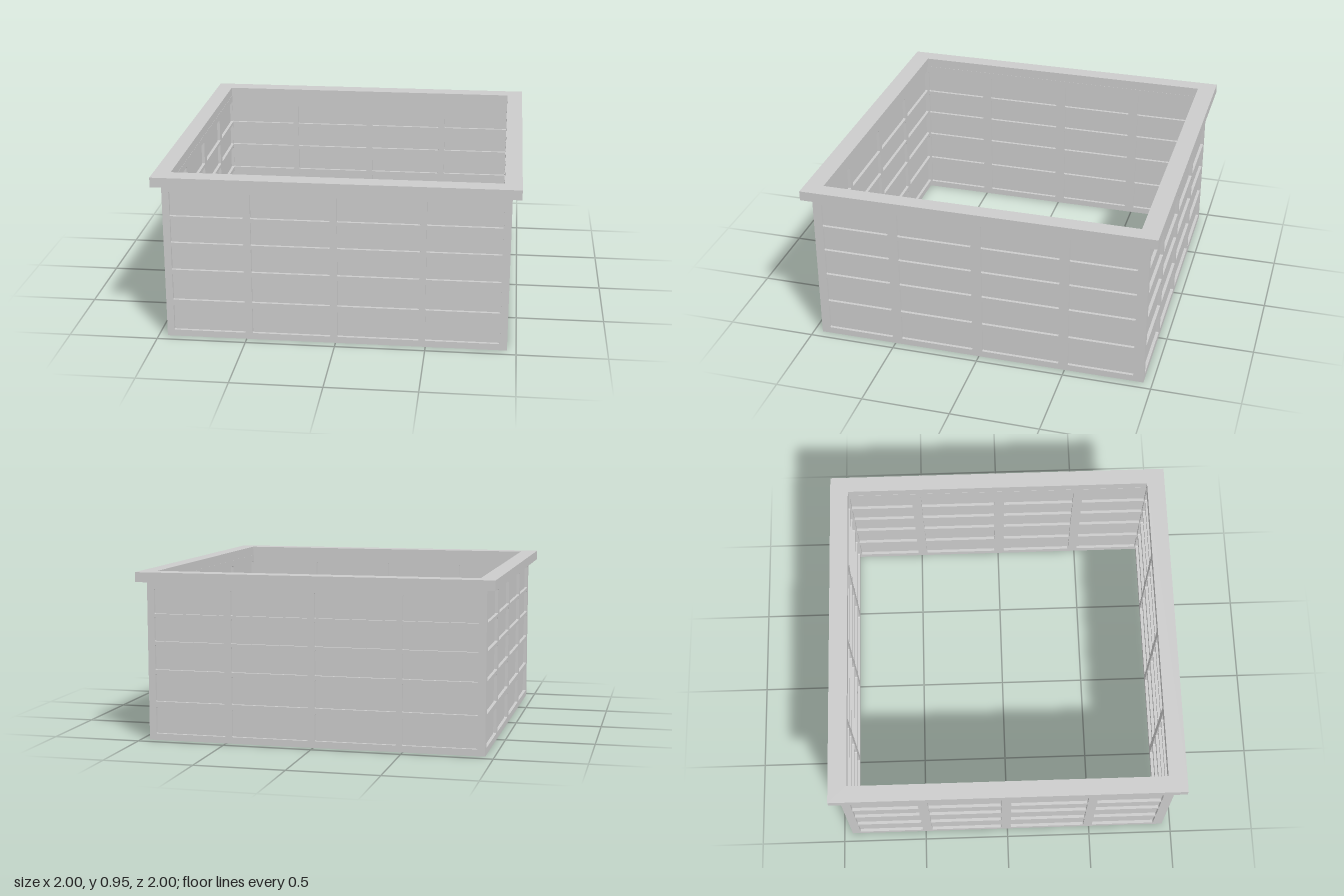
import * as THREE from 'three';

const OUTER = 0.95, THICK = 0.045, HEIGHT = 0.895, TOP = 0.95;
const ROWS = [[0.037, 0.187], [0.22, 0.375], [0.40, 0.54], [0.56, 0.695], [0.715, 0.855]];
const FRONT_COLS = [[-0.91, -0.503], [-0.465, -0.027], [0.01, 0.465], [0.497, 0.91]];
const SIDE_COLS = [[-0.90, -0.515], [-0.46, -0.037], [0.02, 0.465], [0.518, 0.893]];

const material = new THREE.MeshStandardMaterial({ color: 0xcccccc });

function rect(target, x0, x1, y0, y1) {
  target.moveTo(x0, y0);
  target.lineTo(x1, y0);
  target.lineTo(x1, y1);
  target.lineTo(x0, y1);
  target.closePath();
  return target;
}

// Opening with slightly rounded corners
function opening(x0, x1, y0, y1, r = 0.006) {
  const p = new THREE.Path();
  p.absarc(x1 - r, y1 - r, r, 0, Math.PI / 2);
  p.absarc(x0 + r, y1 - r, r, Math.PI / 2, Math.PI);
  p.absarc(x0 + r, y0 + r, r, Math.PI, Math.PI * 1.5);
  p.absarc(x1 - r, y0 + r, r, Math.PI * 1.5, Math.PI * 2);
  p.closePath();
  return p;
}

function extrude(shape, depth) {
  return new THREE.ExtrudeGeometry(shape, { depth, bevelEnabled: false, curveSegments: 3 });
}

// One wall: a frame of openings with a thin sheet set inside it
function makeWall(name, halfWidth, columns, angle) {
  const wall = new THREE.Group();
  wall.name = name;
  const shape = rect(new THREE.Shape(), -halfWidth, halfWidth, 0, HEIGHT);
  for (const [x0, x1] of columns) {
    for (const [y0, y1] of ROWS) shape.holes.push(opening(x0, x1, y0, y1));
  }
  const frame = new THREE.Mesh(extrude(shape, THICK), material);
  frame.name = 'wallFrame';
  frame.position.z = OUTER - THICK;

  const left = columns[0][0] - 0.003, right = columns[3][1] + 0.003;
  const sheet = new THREE.Mesh(new THREE.BoxGeometry(right - left, 0.85, 0.01), material);
  sheet.name = 'recessedPanels';
  sheet.position.set((left + right) / 2, 0.445, OUTER - THICK / 2);

  wall.add(frame, sheet);
  wall.rotation.y = angle;
  return wall;
}

export function createModel() {
  const model = new THREE.Group();
  model.name = 'panelledBox';

  // Four walls, side walls fitted between front and back
  const inner = OUTER - THICK;
  model.add(
    makeWall('frontWall', OUTER, FRONT_COLS, 0),
    makeWall('leftWall', inner, SIDE_COLS, Math.PI / 2),
    makeWall('backWall', OUTER, FRONT_COLS, Math.PI),
    makeWall('rightWall', inner, SIDE_COLS, -Math.PI / 2)
  );

  // Flat rim overhanging the walls
  const shape = rect(new THREE.Shape(), -1, 1, -1, 1);
  shape.holes.push(rect(new THREE.Path(), -0.906, 0.906, -0.895, 0.895));
  const rim = new THREE.Mesh(extrude(shape, TOP - HEIGHT), material);
  rim.name = 'rim';
  rim.rotation.x = -Math.PI / 2;
  rim.position.y = HEIGHT;
  model.add(rim);

  return model;
}
